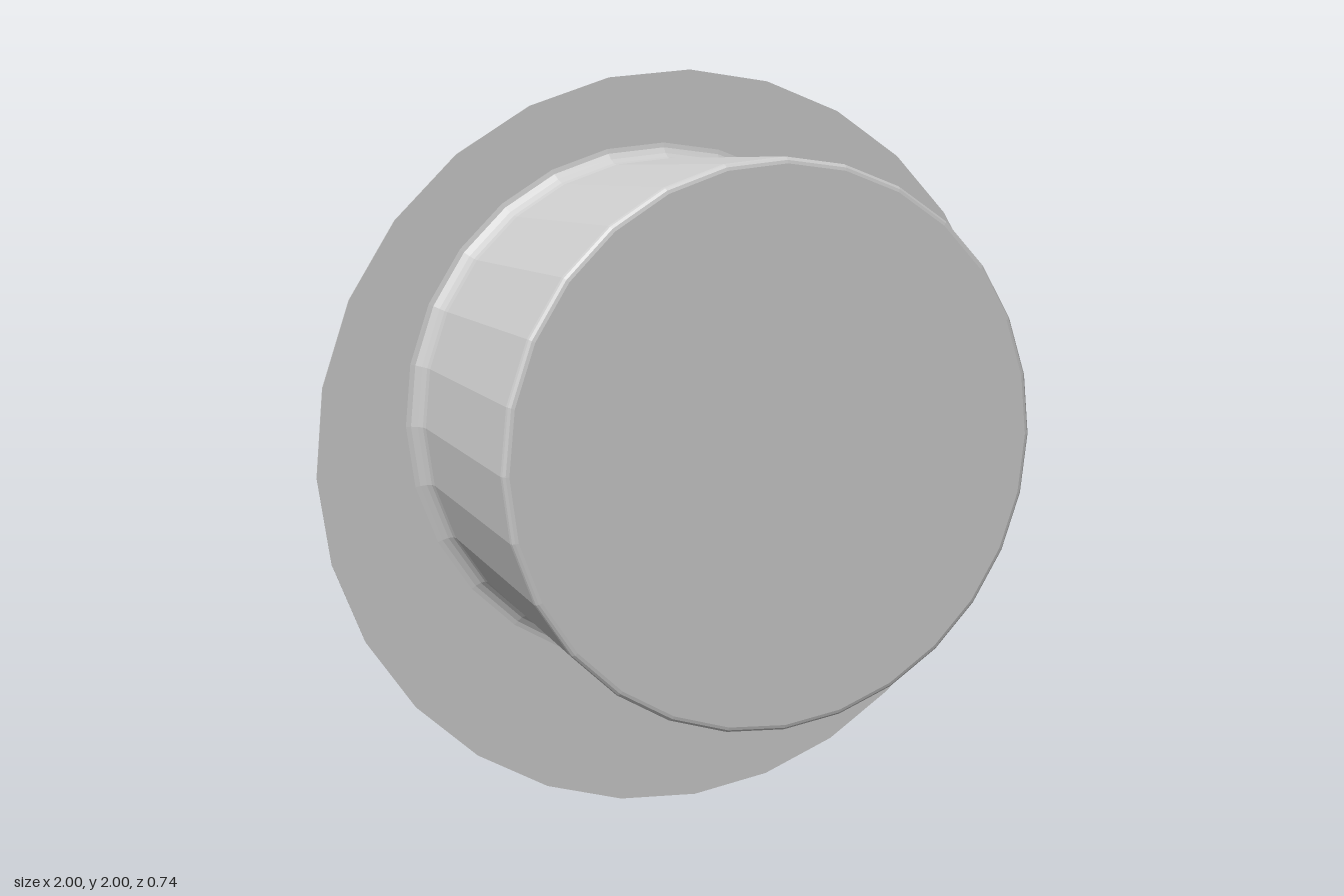
import * as THREE from 'three';

const SIDES = 28;
const BACK = -0.37, DEPTH = 0.74;   // back plane and overall depth
const CUP = { x: -0.075, y: 1.113, r: 0.661 };
const WALL = 0.006;

// Quarter-round points about (cx, cy), from angle a to angle b in degrees
function arc(cx, cy, r, a, b, steps = 4) {
  const pts = [];
  for (let i = 0; i <= steps; i++) {
    const t = THREE.MathUtils.degToRad(a + (b - a) * i / steps);
    pts.push(new THREE.Vector2(cx + r * Math.cos(t), cy + r * Math.sin(t)));
  }
  return pts;
}

// Regular polygon outline
function ring(target, cx, cy, r) {
  const pts = [];
  for (let i = 0; i < SIDES; i++) {
    const a = i / SIDES * Math.PI * 2;
    pts.push(new THREE.Vector2(cx + r * Math.cos(a), cy + r * Math.sin(a)));
  }
  return target.setFromPoints(pts);
}

export function createModel() {
  const group = new THREE.Group();
  const material = new THREE.MeshStandardMaterial({ color: 0xcccccc, flatShading: true });
  const add = (name, geometry) => {
    const mesh = new THREE.Mesh(geometry, material);
    mesh.name = name;
    group.add(mesh);
    return mesh;
  };

  // Thin round flange with an off-centre opening
  const outline = ring(new THREE.Shape(), 0, 1, 1);
  outline.holes.push(ring(new THREE.Path(), CUP.x, CUP.y, CUP.r - WALL));
  const plate = new THREE.ExtrudeGeometry(outline, { depth: 0.005, bevelEnabled: false });
  add('flange', plate).position.z = BACK;

  // Hollow cup: outer fillet, wall and rounded rim, then the inside back down
  const base = 0.045, rim = 0.015, inner = 0.04, r = CUP.r;
  const profile = [
    ...arc(r + base, base + 0.004, base, 270, 180),
    ...arc(r - rim, DEPTH - rim, rim, 0, 90, 3),
    new THREE.Vector2(0, DEPTH),
    new THREE.Vector2(0, DEPTH - WALL),
    ...arc(r - WALL - inner, DEPTH - WALL - inner, inner, 90, 0),
    new THREE.Vector2(r - WALL, 0),
  ];
  const cupGeometry = new THREE.LatheGeometry(profile, SIDES, Math.PI / 2);
  cupGeometry.rotateX(Math.PI / 2);
  add('cup', cupGeometry).position.set(CUP.x, CUP.y, BACK);

  // Hair-thin rod inside the cup, from the opening to the closed end
  const rodGeometry = new THREE.CylinderGeometry(0.002, 0.002, DEPTH - WALL, 6);
  rodGeometry.rotateX(Math.PI / 2);
  add('innerRod', rodGeometry).position.set(-0.22, 1.11, -WALL / 2);

  return group;
}
